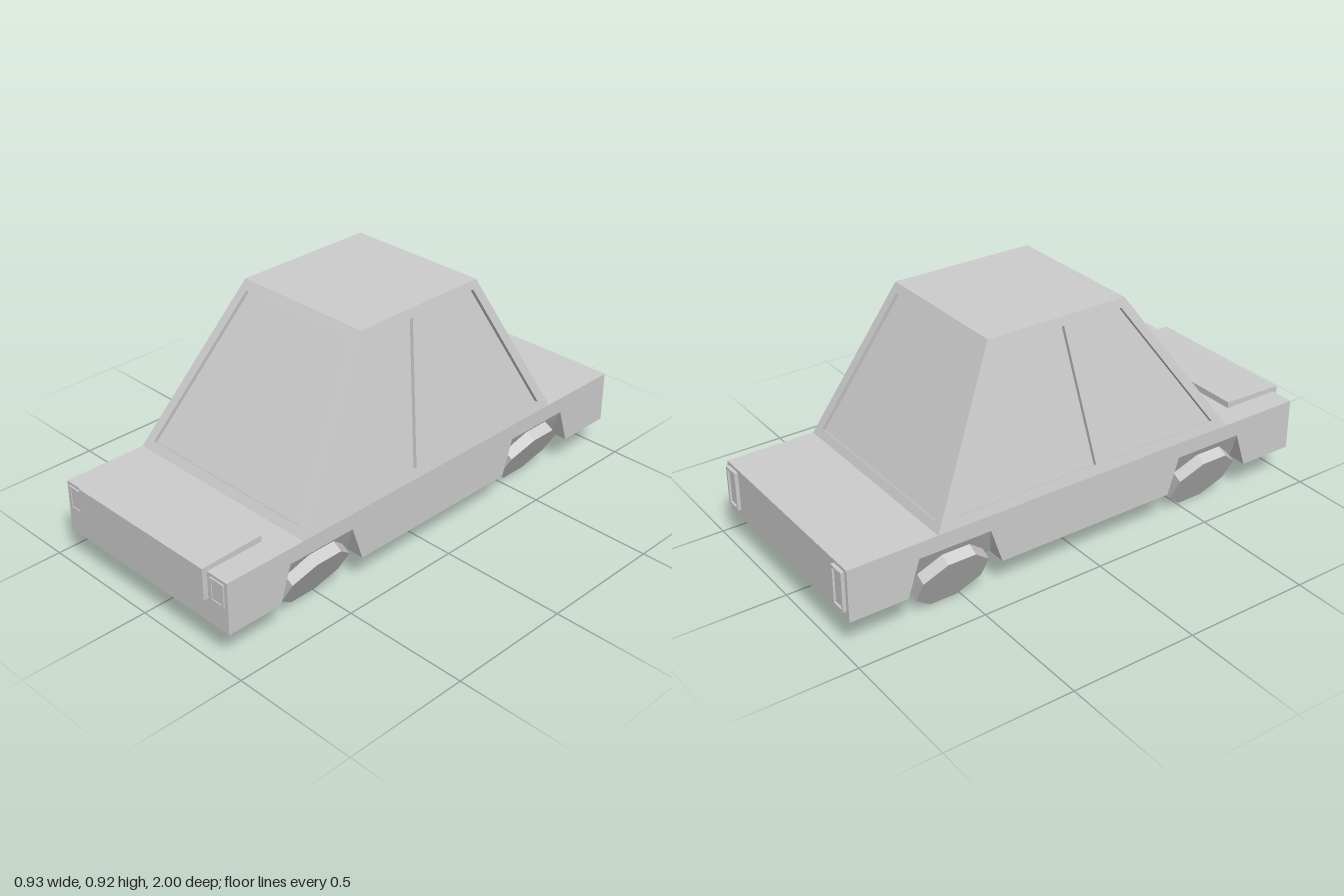
import * as THREE from 'three';
import { ConvexGeometry } from 'three/addons/geometries/ConvexGeometry.js';

const material = new THREE.MeshStandardMaterial({ color: 0xcccccc, flatShading: true });
const V = (x, y, z) => new THREE.Vector3(x, y, z);

// main dimensions
const W = 0.427, CORE = 0.35, FLOOR = 0.133, DECK = 0.337, ROOF = 0.92, ROOF_W = 0.29;
const FRONT = 0.98, BACK = -0.985;
const CABIN = { front: [0.648, 0.245], back: [-0.635, -0.335] }; // z at deck, z at roof
const RECESS = 0.015;
const AXLES = [0.563, -0.567];
const ARCH = { bottom: 0.191, top: 0.144, y: 0.275 };

function add(parent, name, geometry) {
  const mesh = new THREE.Mesh(geometry, material);
  mesh.name = name;
  parent.add(mesh);
  return mesh;
}

// Profile drawn in (z, y), extruded along x between two values
function profile(points, x0, x1) {
  const shape = new THREE.Shape(points.map(([z, y]) => new THREE.Vector2(z, y)));
  const g = new THREE.ExtrudeGeometry(shape, { depth: x1 - x0, bevelEnabled: false });
  return g.rotateY(-Math.PI / 2).translate(x1, 0, 0);
}

// Flat panel through world points (counter-clockwise from outside), with recessed window panes
function panel(parent, name, outline, windows = []) {
  const u = outline[1].clone().sub(outline[0]).normalize();
  const n = u.clone().cross(outline[3].clone().sub(outline[0])).normalize();
  const v = n.clone().cross(u);
  const flat = (pts) => pts.map((p) => {
    const d = p.clone().sub(outline[0]);
    return new THREE.Vector2(d.dot(u), d.dot(v));
  });
  const place = new THREE.Matrix4().makeBasis(u, v, n).setPosition(outline[0]);
  const frame = new THREE.Shape(flat(outline));
  windows.forEach((w) => frame.holes.push(new THREE.Path(flat(w))));
  const g = new THREE.ExtrudeGeometry(frame, { depth: RECESS, bevelEnabled: false });
  add(parent, name, g.translate(0, 0, -RECESS).applyMatrix4(place));
  windows.forEach((w) => {
    const pane = new THREE.ShapeGeometry(new THREE.Shape(flat(w)));
    add(parent, name + 'Window', pane.translate(0, 0, -RECESS).applyMatrix4(place));
  });
}

function buildBody() {
  const body = new THREE.Group();
  body.name = 'body';
  const core = new THREE.BoxGeometry(2 * CORE, DECK - FLOOR, FRONT - BACK);
  add(body, 'bodyCore', core.translate(0, (DECK + FLOOR) / 2, (FRONT + BACK) / 2));

  // sides with wheel arches cut from the lower edge
  const outline = [[BACK, FLOOR]];
  for (const z of [...AXLES].reverse()) {
    outline.push([z - ARCH.bottom, FLOOR], [z - ARCH.top, ARCH.y],
      [z + ARCH.top, ARCH.y], [z + ARCH.bottom, FLOOR]);
  }
  outline.push([FRONT, FLOOR], [FRONT, DECK], [BACK, DECK]);
  for (const s of [1, -1]) {
    add(body, 'bodySide', s > 0 ? profile(outline, CORE, W) : profile(outline, -W, -CORE));
    // sloping inner wall of each arch
    for (const z of AXLES) {
      const pts = [];
      for (const e of [1, -1]) {
        pts.push(V(s * CORE, FLOOR, z + e * ARCH.bottom),
          V(s * CORE, ARCH.y, z + e * ARCH.top), V(s * W, ARCH.y, z + e * ARCH.top));
      }
      add(body, 'archWall', new ConvexGeometry(pts));
    }
  }

  // raised hood panel wrapping over the nose
  add(body, 'hoodPanel', profile([[0.745, 0.33], [0.96, 0.33], [0.96, 0.23],
    [1, 0.23], [1, 0.355], [0.745, 0.362]], -0.33, 0.33));
  return body;
}

function buildCabin() {
  const cabin = new THREE.Group();
  cabin.name = 'cabin';
  const at = (a, b, y) => a + (b - a) * (y - DECK) / (ROOF - DECK);
  const sideX = (y) => at(W, ROOF_W, y);

  // windscreen and rear window panels
  for (const [name, s] of [['front', 1], ['back', -1]]) {
    const [z0, z1] = CABIN[name];
    const quad = (x0, y0, x1, y1) => [[-x0, y0], [x0, y0], [x1, y1], [-x1, y1]]
      .map(([x, y]) => V(s * x, y, at(z0, z1, y)));
    panel(cabin, name + 'Cabin', quad(W, DECK, ROOF_W, ROOF), [quad(0.382, 0.367, 0.262, 0.889)]);
  }

  // sides, each with two windows split by a slanted pillar
  const [f0, f1] = CABIN.front, [b0, b1] = CABIN.back;
  for (const s of [1, -1]) {
    const quad = (zf0, zb0, zb1, zf1, y0, y1) => {
      const pts = [[zf0, y0], [zb0, y0], [zb1, y1], [zf1, y1]]
        .map(([z, y]) => V(s * sideX(y), y, z));
      return s > 0 ? pts : [pts[1], pts[0], pts[3], pts[2]];
    };
    panel(cabin, 'sideCabin', quad(f0, b0, b1, f1, DECK, ROOF), [
      quad(0.58, 0.095, 0, 0.225, 0.373, 0.887),
      quad(0.035, -0.575, -0.313, -0.025, 0.373, 0.887),
    ]);
  }
  panel(cabin, 'roof', [V(-ROOF_W, ROOF, f1), V(ROOF_W, ROOF, f1),
    V(ROOF_W, ROOF, b1), V(-ROOF_W, ROOF, b1)]);
  return cabin;
}

// Rectangular light: a raised rim around a sunken lens
function buildLight(name, x, y0, y1, z, depth, facing) {
  const light = new THREE.Group();
  light.name = name;
  const w = 0.067, h = y1 - y0, rim = 0.009;
  const rect = (Type, a, b) => new Type([[-a, -b], [a, -b], [a, b], [-a, b]]
    .map((p) => new THREE.Vector2(...p)));
  const shape = rect(THREE.Shape, w / 2, h / 2);
  shape.holes.push(rect(THREE.Path, w / 2 - rim, h / 2 - rim));
  add(light, name + 'Rim', new THREE.ExtrudeGeometry(shape, { depth, bevelEnabled: false }));
  const lens = new THREE.BoxGeometry(w - 2 * rim, h - 2 * rim, depth * 0.4);
  add(light, name + 'Lens', lens.translate(0, 0, depth * 0.2));
  light.position.set(x, (y0 + y1) / 2, z);
  if (facing < 0) light.rotation.y = Math.PI;
  return light;
}

export function createModel() {
  const car = new THREE.Group();
  car.name = 'car';
  car.add(buildBody(), buildCabin());

  for (const s of [1, -1]) {
    car.add(buildLight('headlight', s * 0.379, 0.233, 0.325, FRONT, 0.006, 1));
    car.add(buildLight('tailLight', s * 0.379, 0.17, 0.325, BACK, 0.014, -1));
  }

  // eight-sided wheels, splayed out at the top
  const sides = [
    { s: 1, x: 0.375, y: 0.143, tilt: 0.54 },
    { s: -1, x: -0.383, y: 0.129, tilt: 0.495 },
  ];
  for (const { s, x, y, tilt } of sides) {
    for (const z of AXLES) {
      const tyre = new THREE.CylinderGeometry(0.144, 0.144, 0.044, 8).rotateY(Math.PI / 8);
      const wheel = add(car, z > 0 ? 'frontWheel' : 'rearWheel', tyre);
      wheel.rotation.z = -s * (Math.PI / 2 + tilt);
      wheel.position.set(x, y, z);
    }
  }
  return car;
}
